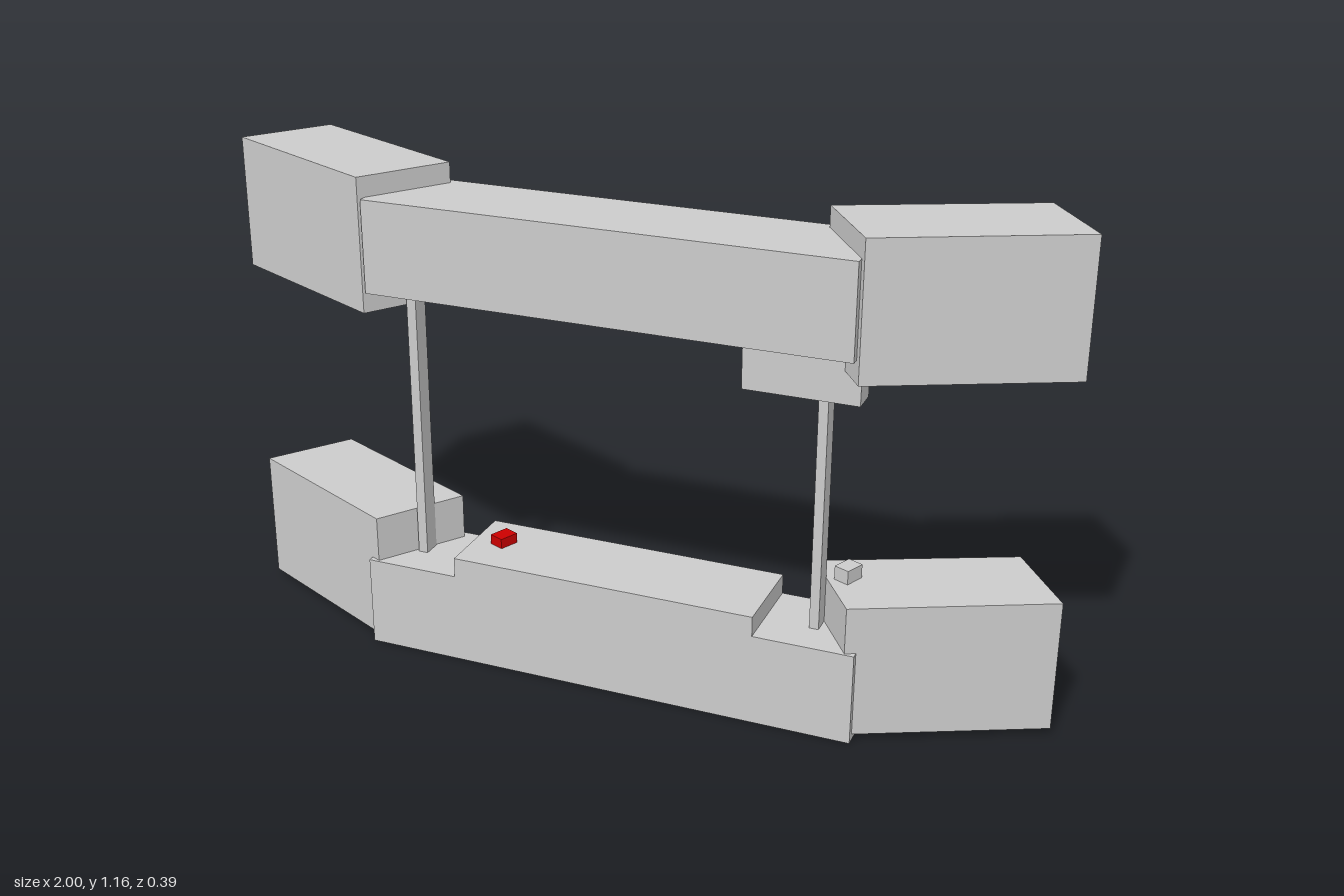
import * as THREE from 'three';

export function createModel() {
  const model = new THREE.Group();
  const grey = new THREE.MeshStandardMaterial({ color: 0xcccccc, flatShading: true });
  const red = new THREE.MeshStandardMaterial({ color: 0xcc0000, flatShading: true });

  function add(name, geometry, material = grey) {
    const mesh = new THREE.Mesh(geometry, material);
    mesh.name = name;
    model.add(mesh);
    return mesh;
  }

  // Box given by its limits along each axis
  function box(name, [x0, x1], [y0, y1], [z0, z1]) {
    const mesh = add(name, new THREE.BoxGeometry(x1 - x0, y1 - y0, z1 - z0));
    mesh.position.set((x0 + x1) / 2, (y0 + y1) / 2, (z0 + z1) / 2);
  }

  // Swept-back wing block: a parallelogram plan, extruded upwards
  function wing(name, side, y0, y1) {
    const plan = [[1, -0.01], [0.87, -0.195], [0.445, 0], [0.575, 0.192]];
    const shape = new THREE.Shape(plan.map(([x, z]) => new THREE.Vector2(side * x, -z)));
    const geometry = new THREE.ExtrudeGeometry(shape, { depth: y1 - y0, bevelEnabled: false });
    geometry.rotateX(-Math.PI / 2);
    add(name, geometry).position.y = y0;
  }

  // Small turned button
  function button(name, x, y0, y1, z, material) {
    const mesh = add(name, new THREE.BoxGeometry(0.038, y1 - y0, 0.049), material);
    mesh.position.set(x, (y0 + y1) / 2, z);
    mesh.rotation.y = -0.41;
  }

  // Wings on both sides, lower and upper
  for (const [sideName, side] of [['left', 1], ['right', -1]]) {
    wing(sideName + 'LowerWing', side, 0.015, 0.33);
    wing(sideName + 'UpperWing', side, 0.845, 1.16);
  }

  // Central beams
  const depth = [-0.02, 0.197];
  box('lowerBeam', [-0.598, 0.598], [0, 0.22], depth);
  box('raisedPanel', [-0.37, 0.365], [0.22, 0.268], depth);
  box('upperBeam', [-0.565, 0.565], [0.895, 1.112], depth);

  // Posts and the bracket above the left one
  box('rightPost', [-0.51, -0.487], [0.22, 0.895], [0.067, 0.112]);
  box('leftPost', [0.47, 0.492], [0.22, 0.77], [0.067, 0.112]);
  box('bracket', [0.3, 0.563], [0.77, 0.895], [0.058, 0.12]);

  // Buttons
  button('redButton', -0.297, 0.265, 0.292, 0.08, red);
  button('greyButton', 0.538, 0.33, 0.363, 0.055, grey);

  return model;
}
